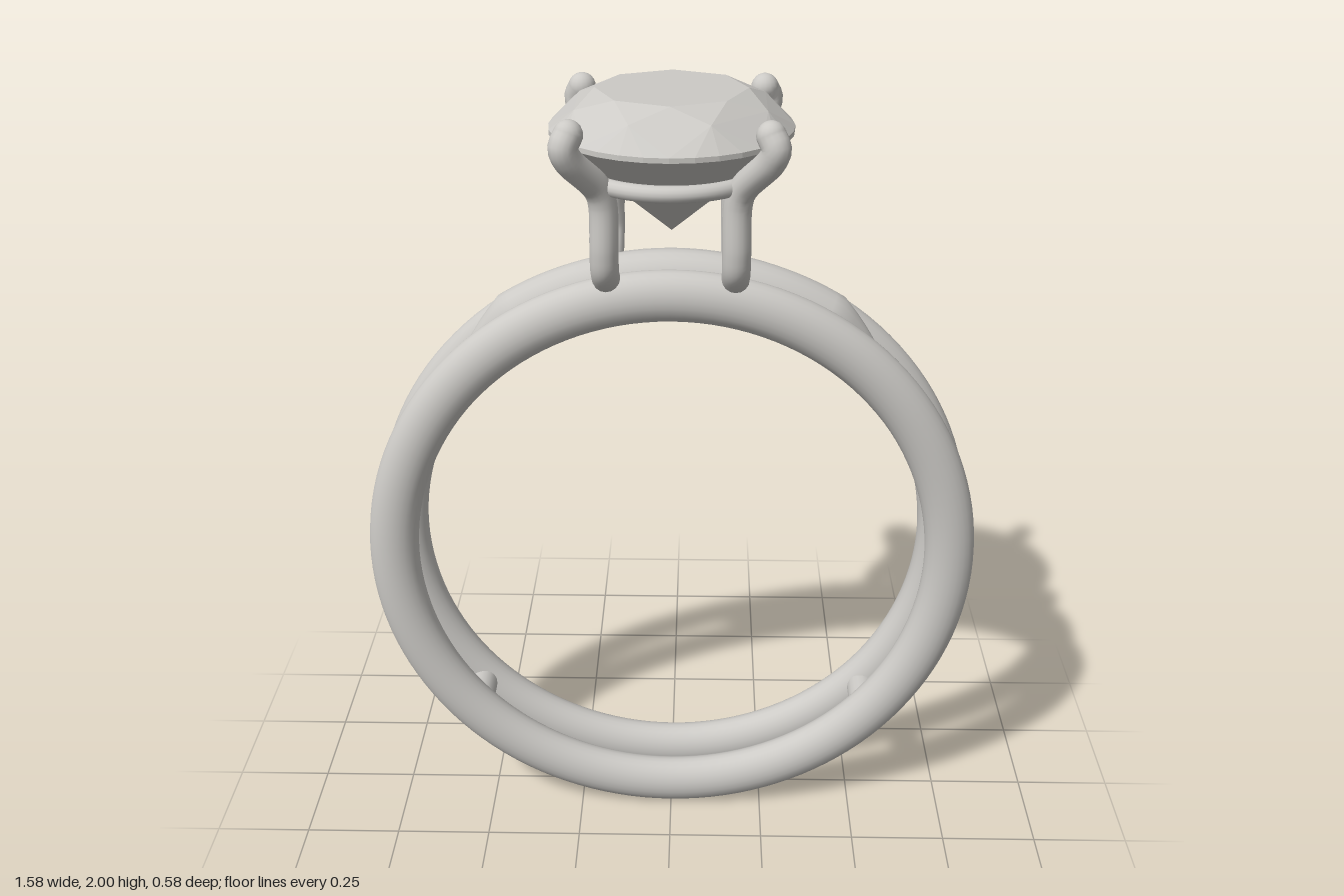
import * as THREE from 'three';
import { ConvexGeometry } from 'three/addons/geometries/ConvexGeometry.js';

const metal = new THREE.MeshStandardMaterial({ color: 0xcccac6 });
metal.name = 'silver grey';

const CENTER_Y = 0.79;
const BAND_R = 0.726;

function add(parent, name, geometry, x = 0, y = 0, z = 0) {
  const mesh = new THREE.Mesh(geometry, metal);
  mesh.name = name;
  mesh.position.set(x, y, z);
  parent.add(mesh);
  return mesh;
}

// points on a horizontal circle
function circle(n, r, y, offset = 0) {
  return Array.from({ length: n }, (_, i) => {
    const a = (i + offset) / n * Math.PI * 2;
    return new THREE.Vector3(Math.sin(a) * r, y, Math.cos(a) * r);
  });
}

// arched filler that lies between the bands and tapers to a point at each end
function bridgeGeometry() {
  const tip = THREE.MathUtils.degToRad(49), shoulder = THREE.MathUtils.degToRad(32);
  const angles = [];
  for (let i = 0; i <= 6; i++) angles.push(-tip + (tip - shoulder) * i / 6);
  for (let i = 1; i < 32; i++) angles.push(-shoulder + 2 * shoulder * i / 32);
  for (let i = 0; i <= 6; i++) angles.push(shoulder + (tip - shoulder) * i / 6);
  const sides = 24, pos = [], index = [];
  for (const a of angles) {
    const k = Math.max(0.001, Math.min(1, (tip - Math.abs(a)) / (tip - shoulder)));
    for (let j = 0; j < sides; j++) {
      const t = j / sides * Math.PI * 2;
      const r = 0.733 + 0.082 * k * Math.cos(t);
      pos.push(Math.sin(a) * r, Math.cos(a) * r, 0.065 * k * Math.sin(t));
    }
  }
  for (let i = 0; i < angles.length - 1; i++) {
    for (let j = 0; j < sides; j++) {
      const a = i * sides + j, b = i * sides + (j + 1) % sides;
      index.push(a, b, a + sides, b, b + sides, a + sides);
    }
  }
  const g = new THREE.BufferGeometry();
  g.setAttribute('position', new THREE.Float32BufferAttribute(pos, 3));
  g.setIndex(index);
  g.computeVertexNormals();
  return g;
}

// claw that rises from the band, leans out under the stone and hooks over its edge
function makeProng(sx, sz) {
  const prong = new THREE.Group();
  prong.name = 'prong';
  const points = [
    [0.155, 1.55, 0.06], [0.155, 1.575, 0.115], [0.155, 1.605, 0.147], [0.155, 1.65, 0.157],
    [0.156, 1.77, 0.157], [0.168, 1.81, 0.168], [0.227, 1.89, 0.227],
    [0.237, 1.92, 0.237], [0.225, 1.948, 0.225],
  ].map(([x, y, z]) => new THREE.Vector3(x * sx, y, z * sz));
  const path = new THREE.CatmullRomCurve3(points, false, 'centripetal');
  add(prong, 'prongStem', new THREE.TubeGeometry(path, 48, 0.034, 16));
  for (const p of [points[0], points[points.length - 1]]) {
    add(prong, 'prongTip', new THREE.SphereGeometry(0.034, 16, 12), p.x, p.y, p.z);
  }
  return prong;
}

export function createModel() {
  const ring = new THREE.Group();
  ring.name = 'ring';

  // twin bands, slightly narrower than they are thick
  for (const s of [1, -1]) {
    const band = add(ring, 'band', new THREE.TorusGeometry(BAND_R, 0.064, 24, 128), 0, CENTER_Y, s * 0.08);
    band.scale.z = 0.78;
  }

  // filler at the top and pins low down join the bands
  add(ring, 'bridge', bridgeGeometry(), 0, CENTER_Y, 0);
  for (const s of [1, -1]) {
    const pin = add(ring, 'pin', new THREE.CylinderGeometry(0.04, 0.04, 0.14, 20), s * 0.535, 0.3, 0);
    pin.rotation.x = Math.PI / 2;
  }

  // setting: collar and four prongs
  const collar = add(ring, 'collar', new THREE.TorusGeometry(0.217, 0.02, 14, 72), 0, 1.81, 0);
  collar.rotation.x = Math.PI / 2;
  for (const sx of [1, -1]) for (const sz of [1, -1]) ring.add(makeProng(sx, sz));

  // faceted stone: table, star points, girdle and culet
  add(ring, 'stone', new ConvexGeometry([
    ...circle(8, 0.18, 2),
    ...circle(8, 0.24, 1.969, 0.5),
    ...circle(32, 0.29, 1.914),
    ...circle(32, 0.29, 1.902),
    new THREE.Vector3(0, 1.655, 0),
  ]));

  return ring;
}
